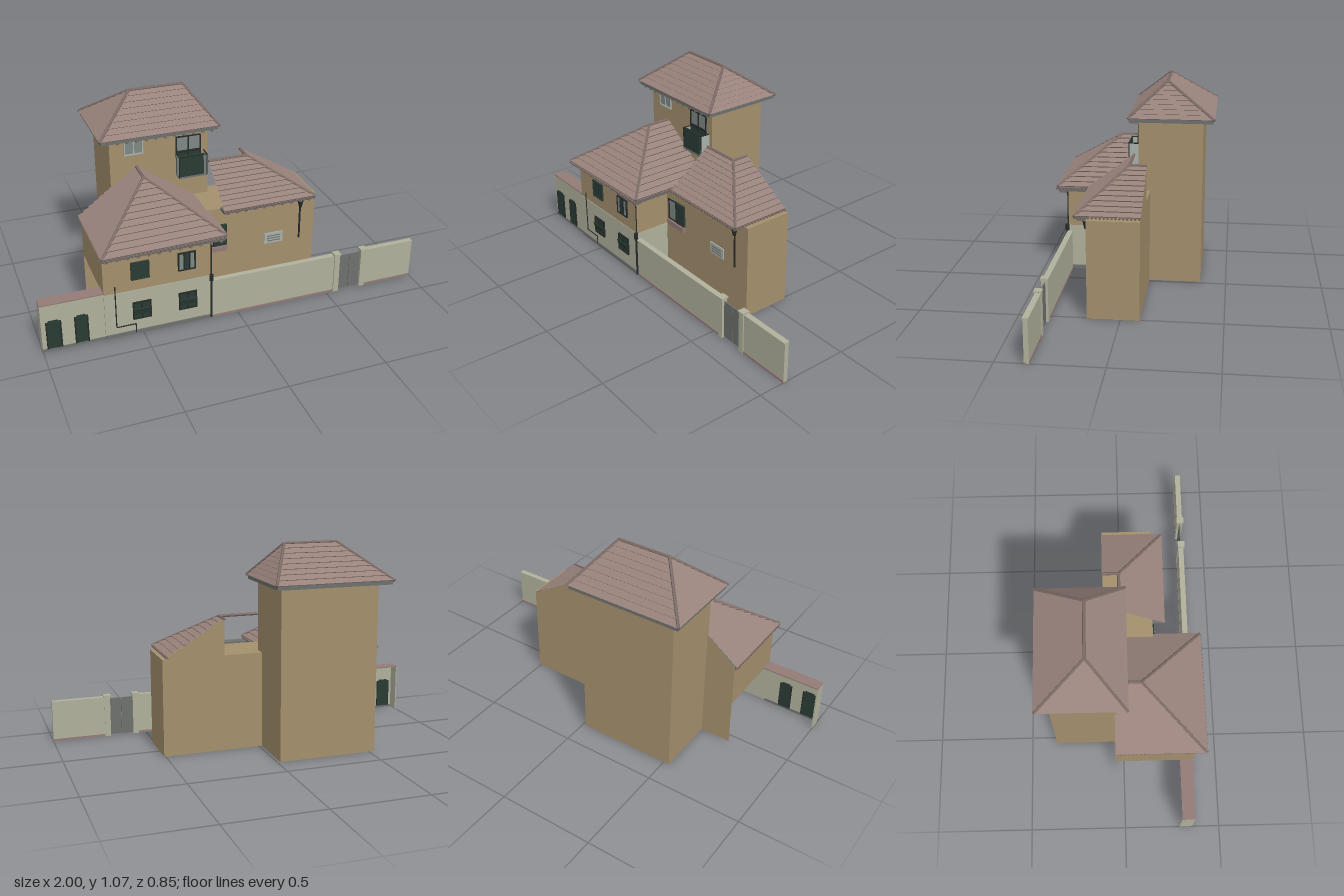
import * as THREE from 'three';

const mat = (name, color, side = THREE.FrontSide) => {
  const m = new THREE.MeshStandardMaterial({ color, side, flatShading: true });
  m.name = name;
  return m;
};

export function createModel() {
  const root = new THREE.Group();
  root.name = 'villa';
  const M = {
    tan: mat('tan plaster', 0xa38f6c, THREE.DoubleSide),
    pale: mat('pale wall', 0xb0b09c, THREE.DoubleSide),
    tile: mat('roof tile', 0x98827b),
    cap: mat('ridge cap', 0x7b6a65),
    grey: mat('grey trim', 0x6e706e),
    green: mat('dark green shutter', 0x2a3b34),
    black: mat('dark metal', 0x252a28),
    glass: mat('pale glass', 0xa9b0aa, THREE.DoubleSide),
    pink: mat('coping pink', 0x947b77),
    pane: mat('window pane', 0x7f8885),
  };
  const V = (x, y, z) => new THREE.Vector3(x, y, z);

  const add = (name, geo, m, parent = root) => {
    const mesh = new THREE.Mesh(geo, m);
    mesh.name = name;
    parent.add(mesh);
    return mesh;
  };
  // Box given by its min and max on each axis
  const box = (name, m, x0, x1, y0, y1, z0, z1, parent = root) => {
    const b = add(name, new THREE.BoxGeometry(x1 - x0, y1 - y0, z1 - z0), m, parent);
    b.position.set((x0 + x1) / 2, (y0 + y1) / 2, (z0 + z1) / 2);
    return b;
  };
  // Round bar between two points
  const bar = (name, m, a, b, r, parent = root, sides = 6) => {
    const c = add(name, new THREE.CylinderGeometry(r, r, a.distanceTo(b), sides), m, parent);
    c.position.copy(a).add(b).multiplyScalar(0.5);
    c.quaternion.setFromUnitVectors(V(0, 1, 0), b.clone().sub(a).normalize());
    return c;
  };
  // Flat polygon in the xy plane
  const panel = (name, m, pts, z) => {
    const s = new THREE.Shape(pts.map(p => new THREE.Vector2(...p)));
    add(name, new THREE.ShapeGeometry(s), m).position.z = z;
  };

  // Roof slope in overlapping tile rows: eave a to b, top c to d, anticlockwise from outside
  const slope = (parent, a, b, c, d, rows, lift) => {
    const n = b.clone().sub(a).cross(d.clone().sub(a)).normalize().multiplyScalar(lift);
    const pos = [];
    const quad = (p, q, r, s) => [p, q, r, p, r, s].forEach(v => pos.push(v.x, v.y, v.z));
    for (let i = 0; i < rows; i++) {
      const t0 = i / rows, t1 = (i + 1) / rows;
      const l0 = a.clone().lerp(d, t0), r0 = b.clone().lerp(c, t0);
      const l1 = a.clone().lerp(d, t1), r1 = b.clone().lerp(c, t1);
      const lu = l0.clone().add(n), ru = r0.clone().add(n);
      quad(lu, ru, r1, l1);
      quad(l0, r0, ru, lu);
    }
    const g = new THREE.BufferGeometry();
    g.setAttribute('position', new THREE.Float32BufferAttribute(pos, 3));
    g.computeVertexNormals();
    add('tileSlope', g, M.tile, parent);
  };
  // Row of round tile ends along an eave, pointing outwards
  const tileEnds = (parent, a, b, out, count) => {
    for (let i = 0; i <= count; i++) {
      const p = a.clone().lerp(b, i / count);
      bar('tileEnd', M.cap, p, p.clone().add(out), 0.006, parent);
    }
  };
  const roof = name => {
    const g = new THREE.Group();
    g.name = name;
    root.add(g);
    return g;
  };
  const caps = (parent, lines) => lines.forEach(([a, b]) => bar('ridgeCap', M.cap, a, b, 0.008, parent));

  // Tower
  box('towerWalls', M.tan, -0.53, -0.015, 0, 0.87, -0.365, -0.035);
  {
    const g = roof('towerRoof'), y = 0.888;
    const fl = V(-0.588, y, 0.018), fr = V(0.03, y, 0.018), br = V(0.03, y, -0.422), bl = V(-0.588, y, -0.422);
    const tl = V(-0.38, 1.063, -0.177), tr = V(-0.1, 1.063, -0.177);
    slope(g, fl, fr, tr, tl, 8, 0.004);
    slope(g, fr, br, tr, tr, 8, 0.004);
    slope(g, br, bl, tl, tr, 8, 0.004);
    slope(g, bl, fl, tl, tl, 8, 0.004);
    caps(g, [[fl, tl], [bl, tl], [fr, tr], [br, tr], [tl, tr]]);
    box('towerEave', M.grey, -0.582, 0.024, 0.868, 0.888, -0.416, 0.012, g);
    for (let i = 0; i < 12; i++) {
      const x = -0.55 + i * 0.049;
      box('rafterEnd', M.cap, x, x + 0.012, 0.858, 0.868, -0.035, 0.008, g);
    }
  }

  // Left wing walls: tan above, pale below
  panel('wingBackWall', M.tan, [[-0.69, 0], [-0.5, 0], [-0.5, 0.63], [-0.69, 0.48]], -0.045);
  box('wingUpperFront', M.tan, -0.69, -0.145, 0.25, 0.47, 0.354, 0.36);
  box('wingUpperOuterSide', M.tan, -0.69, -0.684, 0.25, 0.47, -0.045, 0.355);
  box('wingUpperInnerSide', M.tan, -0.151, -0.145, 0.25, 0.47, -0.035, 0.355);
  box('wingLowerFront', M.pale, -0.69, -0.145, 0, 0.25, 0.356, 0.363);
  box('wingLowerInnerSide', M.pale, -0.151, -0.144, 0, 0.25, 0.165, 0.36);
  box('wingPlinth', M.grey, -0.69, -0.145, 0, 0.02, 0.356, 0.368);
  box('wingSidePlinth', M.grey, -0.151, -0.139, 0, 0.02, 0.165, 0.36);
  {
    const g = roof('leftWingRoof'), y = 0.478, xr = -0.395;
    const fl = V(-0.7, y, 0.412), fr = V(-0.078, y + 0.008, 0.405), br = V(-0.078, y + 0.008, -0.035), bl = V(-0.7, y, -0.045);
    const tf = V(xr, 0.708, 0.09), tb = V(xr, 0.708, -0.045);
    slope(g, fl, fr, tf, tf, 11, 0.007);
    slope(g, fr, br, tb, tf, 11, 0.007);
    slope(g, bl, fl, tf, tb, 11, 0.007);
    caps(g, [[fl, tf], [fr, tf], [tf, tb]]);
    box('wingEave', M.grey, -0.692, -0.086, 0.458, 0.477, -0.04, 0.402, g);
    tileEnds(g, V(-0.695, 0.472, 0.404), V(-0.085, 0.478, 0.4), V(0, -0.004, 0.014), 30);
    tileEnds(g, V(-0.69, 0.472, -0.035), V(-0.69, 0.472, 0.4), V(-0.014, -0.004, 0), 22);
    tileEnds(g, V(-0.088, 0.48, 0.17), V(-0.088, 0.48, 0.395), V(0.014, -0.004, 0), 11);
    for (let i = 0; i < 12; i++) {
      const x = -0.68 + i * 0.052;
      box('rafterEnd', M.cap, x, x + 0.012, 0.447, 0.458, 0.36, 0.398, g);
    }
  }

  // Right wing
  box('rightWingWalls', M.tan, -0.145, 0.508, 0, 0.5, -0.095, 0.163);
  panel('rightWingGable', M.tan, [[0.185, 0.5], [0.5, 0.5], [0.185, 0.69]], -0.095);
  {
    const g = roof('rightWingRoof'), y = 0.51;
    const fl = V(-0.02, y, 0.222), fr = V(0.482, y, 0.222), br = V(0.482, y, -0.097);
    const tl = V(-0.02, 0.687, -0.01), tr = V(0.188, 0.687, -0.01), tb = V(0.188, 0.687, -0.097);
    slope(g, fl, fr, tr, tl, 10, 0.007);
    slope(g, fr, br, tb, tr, 10, 0.007);
    caps(g, [[fr, tr], [tl, tr], [tr, tb]]);
    box('frontEave', M.grey, -0.02, 0.475, 0.492, 0.509, 0.163, 0.215, g);
    tileEnds(g, V(-0.015, 0.506, 0.213), V(0.475, 0.506, 0.213), V(0, -0.004, 0.014), 25);
    tileEnds(g, V(0.474, 0.508, -0.09), V(0.474, 0.508, 0.21), V(0.014, -0.002, 0), 16);
    for (let i = 0; i < 10; i++) {
      const x = 0 + i * 0.05;
      box('rafterEnd', M.cap, x, x + 0.012, 0.482, 0.492, 0.163, 0.21, g);
    }
  }

  // Boundary wall with end return and coping, left of the house
  box('yardWall', M.pale, -1, -0.69, 0, 0.255, 0.35, 0.357);
  box('yardWallEnd', M.pale, -1, -0.994, 0, 0.255, 0.29, 0.352);
  box('yardWallCoping', M.pink, -1, -0.69, 0.255, 0.261, 0.29, 0.357);
  box('yardWallPlinth', M.grey, -1, -0.69, 0, 0.014, 0.348, 0.361);
  for (const [x0, x1] of [[-0.975, -0.905], [-0.836, -0.774]]) {
    box('yardDoor', M.green, x0, x1, 0.012, 0.163, 0.345, 0.361);
    box('yardDoorHead', M.green, x0 + 0.01, x1 - 0.01, 0.163, 0.17, 0.345, 0.361);
    box('doorFrame', M.black, x0 - 0.003, x0 + 0.003, 0.012, 0.163, 0.345, 0.363);
    box('doorFrame', M.black, x1 - 0.003, x1 + 0.003, 0.012, 0.163, 0.345, 0.363);
  }

  // Fence, gate and pillars on the right
  for (const [x0, x1] of [[-0.145, 0.11], [0.11, 0.555], [0.71, 1]]) {
    box('fence', M.pale, x0, x1, 0, 0.215, 0.341, 0.364);
    box('fenceCoping', M.pale, x0, x1, 0.211, 0.217, 0.338, 0.367);
    box('fencePlinth', M.pink, x0, x1, 0, 0.012, 0.339, 0.367);
  }
  for (const x of [0.555, 0.708]) {
    box('gatePillar', M.pale, x - 0.015, x + 0.015, 0, 0.217, 0.338, 0.37);
    box('pillarCap', M.pale, x - 0.019, x + 0.019, 0.217, 0.226, 0.335, 0.374);
  }
  box('gateLeaf', M.grey, 0.57, 0.631, 0.005, 0.205, 0.35, 0.356);
  box('gateLeaf', M.grey, 0.633, 0.693, 0.005, 0.205, 0.35, 0.356);

  // Framed window: panes with frame bars, optional mullions
  const window_ = (name, x0, x1, y0, y1, z, pane, frame, mullions = 0) => {
    const g = roof(name), w = 0.006;
    box('pane', pane, x0, x1, y0, y1, z - 0.002, z + 0.004, g);
    box('frameTop', frame, x0, x1, y1 - w, y1, z, z + 0.009, g);
    box('frameBottom', frame, x0, x1, y0, y0 + w, z, z + 0.009, g);
    for (let i = 0; i <= mullions + 1; i++) {
      const x = x0 + (x1 - x0 - w) * i / (mullions + 1);
      box('frameUpright', frame, x, x + w, y0, y1, z, z + 0.009, g);
    }
  };
  window_('towerWindow', -0.457, -0.358, 0.778, 0.865, -0.035, M.pane, M.glass, 1);
  window_('balconyDoorTop', -0.187, -0.055, 0.755, 0.84, -0.035, M.pane, M.black, 1);
  window_('balconyDoor', -0.187, -0.055, 0.63, 0.755, -0.035, M.green, M.black, 1);
  window_('upperWindowLeft', -0.553, -0.46, 0.31, 0.407, 0.36, M.green, M.green);
  window_('upperWindowRight', -0.315, -0.224, 0.31, 0.41, 0.36, M.green, M.black, 2);
  box('litPane', M.pane, -0.308, -0.288, 0.317, 0.403, 0.362, 0.366);
  box('litPane', M.pane, -0.252, -0.232, 0.317, 0.403, 0.362, 0.366);
  window_('rightWingWindow', -0.122, -0.055, 0.288, 0.408, 0.163, M.pane, M.black);
  box('rightWingShutter', M.green, -0.055, 0.013, 0.288, 0.408, 0.163, 0.174);
  box('rightWingSill', M.pink, -0.124, 0.013, 0.258, 0.286, 0.163, 0.18);

  // Lower windows with tilted awning shutters
  for (const x of [-0.503, -0.267]) {
    window_('lowerWindow', x - 0.047, x + 0.047, 0.085, 0.183, 0.362, M.green, M.black, 1);
    const s = box('awningShutter', M.green, x - 0.045, x + 0.045, 0.11, 0.15, 0.372, 0.376);
    s.rotation.x = 0.3;
  }

  // Balcony rail
  box('balconyFront', M.green, -0.187, -0.055, 0.635, 0.75, 0.012, 0.017);
  for (const x of [-0.187, -0.04]) {
    box('balconySide', M.glass, x, x + 0.003, 0.635, 0.742, -0.035, 0.018);
    bar('railPost', M.black, V(x + 0.002, 0.632, 0.018), V(x + 0.002, 0.747, 0.018), 0.003);
    bar('railSide', M.black, V(x + 0.002, 0.745, -0.035), V(x + 0.002, 0.745, 0.018), 0.003);
  }
  bar('railTop', M.black, V(-0.187, 0.745, 0.018), V(-0.038, 0.745, 0.018), 0.003);
  box('balconyFloor', M.grey, -0.187, -0.037, 0.627, 0.635, -0.035, 0.02);

  // Wall vent
  box('vent', M.glass, 0.225, 0.33, 0.245, 0.305, 0.163, 0.169);
  for (let i = 0; i < 3; i++) box('ventSlat', M.grey, 0.24, 0.315, 0.257 + i * 0.014, 0.262 + i * 0.014, 0.165, 0.171);

  // Drainpipes and lamp
  const pipe = [V(-0.635, 0.292, 0.367), V(-0.635, 0.058, 0.367), V(-0.537, 0.058, 0.367), V(-0.537, 0.01, 0.367)];
  for (let i = 0; i < 3; i++) bar('frontPipe', M.black, pipe[i], pipe[i + 1], 0.003);
  bar('cornerPipe', M.black, V(-0.143, 0.005, 0.368), V(-0.143, 0.25, 0.368), 0.006);
  bar('cornerPipeUpper', M.black, V(-0.143, 0.25, 0.363), V(-0.143, 0.46, 0.363), 0.003);
  bar('pipeHopper', M.black, V(-0.143, 0.222, 0.368), V(-0.143, 0.255, 0.368), 0.011, root, 8);
  bar('sidePipe', M.black, V(0.422, 0.25, 0.172), V(0.422, 0.495, 0.172), 0.005);
  const hopper = add('sideHopper', new THREE.CylinderGeometry(0.016, 0.007, 0.04, 8), M.black);
  hopper.position.set(0.422, 0.45, 0.175);

  return root;
}
